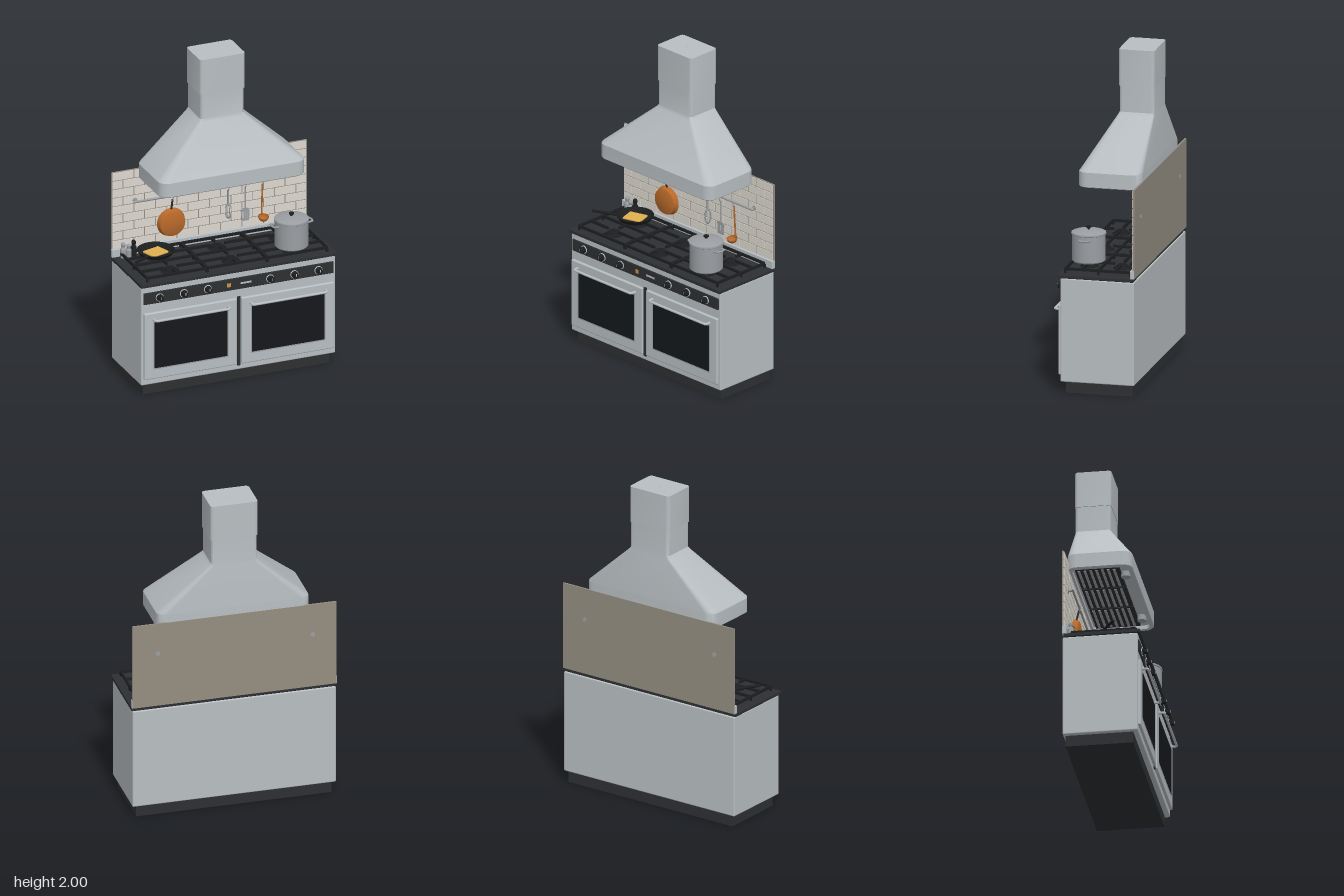
import * as THREE from 'three';
import { toCreasedNormals } from 'three/addons/utils/BufferGeometryUtils.js';
import { RoundedBoxGeometry } from 'three/addons/geometries/RoundedBoxGeometry.js';

const mat = (color) => new THREE.MeshStandardMaterial({ color, side: THREE.DoubleSide });
const steel = mat(0xb8bec2), potSteel = mat(0x9a9ea2), dark = mat(0x2d2f32), black = mat(0x1c1e20),
  glass = mat(0x15181b), copper = mat(0xb8692a), tileMat = mat(0xddd8cf), grout = mat(0x948d80),
  gold = mat(0xc8963a), food = mat(0xe0b050);

function add(parent, name, geo, material, x = 0, y = 0, z = 0) {
  const m = new THREE.Mesh(geo, material);
  m.name = name;
  m.position.set(x, y, z);
  parent.add(m);
  return m;
}
function group(parent, name, x = 0, y = 0, z = 0) {
  const g = new THREE.Group();
  g.name = name;
  g.position.set(x, y, z);
  parent.add(g);
  return g;
}
// box given by its limits, with optional rounded edges
function box(parent, name, material, [x0, x1], [y0, y1], [z0, z1], r = 0) {
  const s = [x1 - x0, y1 - y0, z1 - z0];
  const geo = r ? new RoundedBoxGeometry(...s, 2, r) : new THREE.BoxGeometry(...s);
  return add(parent, name, geo, material, (x0 + x1) / 2, (y0 + y1) / 2, (z0 + z1) / 2);
}
const lathe = (pts, seg = 32) =>
  toCreasedNormals(new THREE.LatheGeometry(pts.map((p) => new THREE.Vector2(...p)), seg), 0.6);

// round bar through a list of points, with ball joints
function rod(parent, name, material, pts, r) {
  const g = group(parent, name), v = pts.map((p) => new THREE.Vector3(...p));
  v.forEach((p, i) => {
    add(g, name + 'Joint', new THREE.SphereGeometry(r, 10, 8), material, p.x, p.y, p.z);
    if (!i) return;
    const d = p.clone().sub(v[i - 1]);
    const m = add(g, name + 'Bar', new THREE.CylinderGeometry(r, r, d.length(), 10), material);
    m.position.copy(p).addScaledVector(d, -0.5);
    m.quaternion.setFromUnitVectors(new THREE.Vector3(0, 1, 0), d.normalize());
  });
  return g;
}
// skin through rounded rectangles: [half width, back z, front z, corner radius, y]
function loft(rings, seg = 6) {
  const pos = [], idx = [], n = 4 * (seg + 1);
  for (const [w, zb, zf, r, y] of rings) {
    for (let c = 0; c < 4; c++) for (let k = 0; k <= seg; k++) {
      const a = (c + k / seg) * Math.PI / 2;
      const cx = (c === 0 || c === 3 ? 1 : -1) * (w - r), cz = c < 2 ? zb + r : zf - r;
      pos.push(cx + r * Math.cos(a), y, cz - r * Math.sin(a));
    }
  }
  for (let j = 0; j < rings.length - 1; j++) for (let i = 0; i < n; i++) {
    const a = j * n + i, b = j * n + (i + 1) % n;
    idx.push(a, b, b + n, a, b + n, a + n);
  }
  const geo = new THREE.BufferGeometry();
  geo.setAttribute('position', new THREE.Float32BufferAttribute(pos, 3));
  geo.setIndex(idx);
  return toCreasedNormals(geo, 0.5);
}

function buildRange(root) {
  const g = group(root, 'range');
  box(g, 'plinth', dark, [-0.6, 0.6], [0, 0.07], [-0.24, 0.165]);
  box(g, 'body', steel, [-0.625, 0.625], [0.07, 0.705], [-0.255, 0.195], 0.008);
  box(g, 'cooktop', dark, [-0.63, 0.63], [0.705, 0.727], [-0.25, 0.21], 0.004);
  box(g, 'centrePost', dark, [-0.01, 0.01], [0.1, 0.545], [0.19, 0.204]);
  box(g, 'controlPanel', dark, [-0.61, 0.61], [0.593, 0.667], [0.19, 0.203], 0.004);
  box(g, 'indicator', gold, [-0.077, -0.053], [0.618, 0.642], [0.2, 0.206]);
  box(g, 'displayBar', steel, [0.01, 0.08], [0.625, 0.636], [0.2, 0.205]);
  for (const x of [-0.51, -0.355, -0.2, 0.2, 0.355, 0.51]) {
    const k = group(g, 'knob', x, 0.63, 0.202);
    k.rotation.x = Math.PI / 2;
    add(k, 'knobRing', lathe([[0, 0], [0.025, 0], [0.025, 0.006], [0, 0.006]], 24), steel);
    add(k, 'knobBody', lathe([[0.021, 0], [0.021, 0.012], [0.016, 0.015], [0.016, 0.032], [0.013, 0.035], [0, 0.035]], 24), black);
    add(k, 'knobMark', new THREE.BoxGeometry(0.004, 0.003, 0.016), steel, 0, 0.035, -0.005);
  }
  // mirrored pair of oven doors
  for (const s of [-1, 1]) {
    const d = group(g, 'ovenDoor', s * 0.3125, 0, 0);
    box(d, 'doorPanel', steel, [-0.2975, 0.2975], [0.11, 0.537], [0.19, 0.212], 0.007);
    box(d, 'windowFrame', potSteel, [-0.24, 0.24], [0.172, 0.482], [0.2, 0.2135]);
    box(d, 'window', glass, [-0.233, 0.233], [0.18, 0.475], [0.2, 0.215]);
    const e = 0.24;
    rod(d, 'doorHandle', steel, [[-e, 0.497, 0.205], [-e, 0.497, 0.237], [-e + 0.01, 0.497, 0.247],
      [e - 0.01, 0.497, 0.247], [e, 0.497, 0.237], [e, 0.497, 0.205]], 0.008);
  }
  // three grates with two burners each
  for (const cx of [-0.388, 0, 0.388]) {
    const t = group(g, 'grate', cx, 0, 0), w = 0.19, zb = -0.22, zf = 0.175, y = [0.745, 0.76], b = 0.006;
    for (const z of [zb, -0.025, zf]) box(t, 'crossBar', black, [-w, w], y, [z - b, z + b]);
    for (const s of [-1, 1]) {
      box(t, 'sideBar', black, [s * w - b, s * w + b], y, [zb, zf]);
      for (const z of [zb, -0.025, zf]) box(t, 'foot', black, [s * w - b, s * w + b], [0.725, 0.75], [z - b, z + b]);
      for (const z of [-0.125, 0.075])
        box(t, 'finger', black, s < 0 ? [-w, -0.045] : [0.045, w], y, [z - b, z + b]);
    }
    for (const z of [-0.125, 0.075]) {
      box(t, 'finger', black, [-b, b], y, [z - 0.1, z - 0.045]);
      box(t, 'finger', black, [-b, b], y, [z + 0.045, z + 0.1]);
      add(t, 'burner', lathe([[0.06, 0], [0.052, 0.006], [0.036, 0.012], [0.034, 0.02], [0.03, 0.025], [0, 0.026]]), black, 0, 0.725, z);
    }
  }
}

function buildSplashback(root) {
  const g = group(root, 'splashback');
  box(g, 'upstand', steel, [-0.63, 0.63], [0.725, 0.777], [-0.257, -0.232], 0.004);
  box(g, 'wallPanel', grout, [-0.627, 0.627], [0.727, 1.27], [-0.258, -0.248]);
  // running-bond tiles
  const rows = 9, h = 0.495 / rows, w = 0.139, gap = 0.003, edge = 0.625;
  for (let r = 0; r < rows; r++) for (let i = -5; i <= 5; i++) {
    const x = (i + (r % 2) / 2) * w;
    const x0 = Math.max(x - w / 2, -edge), x1 = Math.min(x + w / 2, edge), y = 0.775 + r * h;
    if (x1 - x0 > 0.01) box(g, 'tile', tileMat, [x0 + gap, x1 - gap], [y + gap, y + h - gap], [-0.25, -0.244]);
  }
}

function buildHood(root) {
  const g = group(root, 'hood');
  add(g, 'canopy', loft([[0.01, -0.06, -0.05, 0.002, 1.25], [0.44, -0.23, 0.105, 0.035, 1.25], [0.44, -0.23, 0.105, 0.035, 1.225],
    [0.463, -0.253, 0.128, 0.058, 1.225], [0.468, -0.257, 0.132, 0.06, 1.23], [0.468, -0.257, 0.132, 0.06, 1.318],
    [0.462, -0.257, 0.126, 0.058, 1.326], [0.152, -0.256, -0.034, 0.022, 1.6], [0.14, -0.255, -0.042, 0.02, 1.617],
    [0.14, -0.255, -0.042, 0.02, 1.78]]), steel);
  add(g, 'flue', loft([[0.135, -0.25, -0.045, 0.018, 1.775], [0.145, -0.257, -0.039, 0.02, 1.775],
    [0.145, -0.257, -0.039, 0.02, 2], [0.005, -0.15, -0.145, 0.001, 2]]), steel);
  for (const x of [-0.28, 0, 0.28]) {
    box(g, 'filter', dark, [x - 0.135, x + 0.135], [1.236, 1.25], [-0.215, 0.05]);
    for (let i = 0; i < 7; i++)
      box(g, 'filterSlat', potSteel, [x - 0.12, x + 0.12], [1.232, 1.238], [-0.2 + i * 0.035, -0.185 + i * 0.035]);
  }
  for (const x of [-0.31, 0.31]) add(g, 'lamp', new THREE.CylinderGeometry(0.028, 0.028, 0.035, 24), potSteel, x, 1.235, 0.076);
}

function buildUtensils(root) {
  const g = group(root, 'hangingRail');
  rod(g, 'rail', potSteel, [[-0.495, 1.072, -0.215], [0.485, 1.072, -0.215]], 0.007);
  for (const x of [-0.48, 0.47]) {
    rod(g, 'railBracket', potSteel, [[x, 1.072, -0.215], [x, 1.072, -0.256]], 0.006);
    const f = add(g, 'railFlange', new THREE.CylinderGeometry(0.014, 0.014, 0.022, 20), potSteel, x, 1.072, -0.25);
    f.rotation.x = Math.PI / 2;
  }
  const hook = (p, x) => rod(p, 'hook', potSteel, [[x, 1.04, -0.212], [x, 1.06, -0.203], [x, 1.08, -0.208], [x, 1.083, -0.218]], 0.003);
  // copper pan, base facing out
  const pan = group(g, 'hangingPan');
  const dish = add(pan, 'panDish', lathe([[0, 0.035], [0.07, 0.035], [0.08, 0.03], [0.09, 0], [0.087, 0], [0.077, 0.027], [0, 0.031]], 48), copper, -0.25, 0.893, -0.24);
  dish.rotation.x = Math.PI / 2;
  rod(pan, 'panHandle', dark, [[-0.25, 0.975, -0.233], [-0.25, 1.045, -0.215]], 0.006);
  hook(pan, -0.25);
  // whisk
  const whisk = group(g, 'whisk');
  rod(whisk, 'whiskHandle', potSteel, [[0.108, 0.95, -0.215], [0.108, 1.045, -0.215]], 0.006);
  for (let i = 0; i < 4; i++) {
    const loop = add(whisk, 'whiskWire', new THREE.TorusGeometry(0.02, 0.002, 6, 28), potSteel, 0.108, 0.912, -0.215);
    loop.scale.y = 2.3;
    loop.rotation.y = i * Math.PI / 4;
  }
  hook(whisk, 0.108);
  // slotted turner
  const turner = group(g, 'turner');
  const blade = new THREE.Shape([[-0.024, 0], [0.024, 0], [0.028, 0.07], [0.012, 0.082], [-0.012, 0.082], [-0.028, 0.07]].map((p) => new THREE.Vector2(...p)));
  for (const x of [-0.014, 0, 0.014])
    blade.holes.push(new THREE.Path([[-0.003, 0.018], [-0.003, 0.06], [0.003, 0.06], [0.003, 0.018]].map((p) => new THREE.Vector2(p[0] + x, p[1]))));
  add(turner, 'turnerBlade', new THREE.ExtrudeGeometry(blade, { depth: 0.004, bevelEnabled: false }), potSteel, 0.217, 0.83, -0.217);
  rod(turner, 'turnerHandle', potSteel, [[0.217, 0.905, -0.215], [0.217, 1.045, -0.215]], 0.005);
  hook(turner, 0.217);
  // copper ladle
  const ladle = group(g, 'ladle');
  const bowl = add(ladle, 'ladleBowl', new THREE.SphereGeometry(0.032, 24, 12, 0, Math.PI * 2, Math.PI / 2, Math.PI / 2), copper, 0.328, 0.845, -0.198);
  bowl.rotation.x = 0.2;
  rod(ladle, 'ladleHandle', copper, [[0.328, 0.845, -0.228], [0.328, 1.045, -0.215]], 0.005);
  hook(ladle, 0.328);
}

function buildCookware(root) {
  // stock pot
  const pot = group(root, 'stockPot', 0.39, 0.76, 0.08);
  add(pot, 'potBody', lathe([[0, 0], [0.092, 0], [0.1, 0.008], [0.1, 0.165], [0.104, 0.168], [0.104, 0.173], [0, 0.173]], 48), potSteel);
  add(pot, 'potLid', lathe([[0.104, 0.172], [0.103, 0.178], [0.08, 0.186], [0.04, 0.192], [0, 0.194]], 48), potSteel);
  add(pot, 'lidKnob', lathe([[0.008, 0.19], [0.007, 0.2], [0.016, 0.204], [0.016, 0.211], [0.01, 0.215], [0, 0.216]], 20), black);
  for (const s of [-1, 1]) rod(pot, 'potHandle', potSteel, [[s * 0.096, 0.145, -0.03], [s * 0.124, 0.148, -0.026],
    [s * 0.13, 0.148, 0], [s * 0.124, 0.148, 0.026], [s * 0.096, 0.145, 0.03]], 0.006);
  // frying pan with omelette
  const pan = group(root, 'fryingPan', -0.4, 0.76, -0.115);
  add(pan, 'fryingPanDish', lathe([[0, 0], [0.088, 0], [0.098, 0.006], [0.113, 0.031], [0.109, 0.031], [0.094, 0.01], [0, 0.007]], 40), black);
  rod(pan, 'fryingPanHandle', black, [[-0.078, 0.024, 0.066], [-0.13, 0.035, 0.108], [-0.192, 0.045, 0.158]], 0.009);
  const omelette = add(pan, 'omelette', new RoundedBoxGeometry(0.12, 0.014, 0.1, 3, 0.006), food, 0, 0.014, 0);
  omelette.rotation.y = 0.3;
  // seasoning bottles
  const bottles = [[-0.567, -0.215, potSteel, 0.095], [-0.533, -0.212, potSteel, 0.08], [-0.5, -0.215, black, 0.1]];
  for (const [x, z, m, h] of bottles)
    add(root, 'shaker', lathe([[0, 0], [0.017, 0], [0.018, h * 0.55], [0.01, h * 0.7], [0.014, h * 0.8], [0.014, h * 0.92], [0.008, h], [0, h]], 20), m, x, 0.727, z);
}

export function createModel() {
  const root = new THREE.Group();
  root.name = 'kitchenRange';
  buildRange(root);
  buildSplashback(root);
  buildHood(root);
  buildUtensils(root);
  buildCookware(root);
  return root;
}
